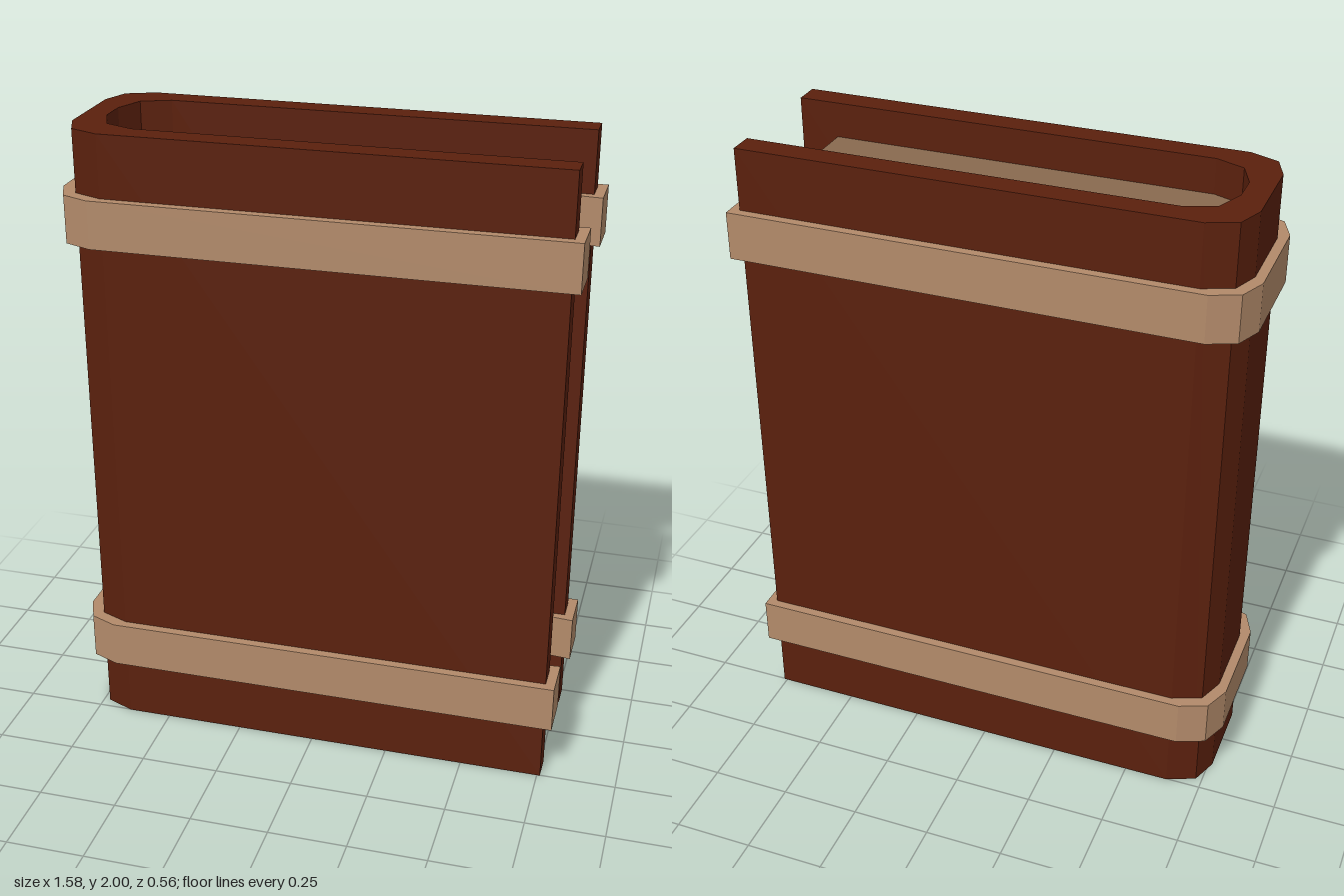
import * as THREE from 'three';

const material = (name, color) => {
  const m = new THREE.MeshStandardMaterial({ color });
  m.name = name;
  return m;
};

// Completes a plan outline, given for one half, with its mirror image across z = 0
const mirrored = (half) => [...half, ...half.map(([x, z]) => [x, -z]).reverse()];

// Extrudes a plan outline upwards from y0 to y1
function slab(name, points, y0, y1, mat) {
  const shape = new THREE.Shape(points.map(([x, z]) => new THREE.Vector2(x, z)));
  const geometry = new THREE.ExtrudeGeometry(shape, { depth: y1 - y0, bevelEnabled: false });
  geometry.rotateX(-Math.PI / 2);
  geometry.translate(0, y0, 0);
  const mesh = new THREE.Mesh(geometry, mat);
  mesh.name = name;
  return mesh;
}

export function createModel() {
  const leather = material('dark brown leather', 0x5a200d);
  const paper = material('aged paper', 0x88694f);
  const tan = material('tan strap', 0xb28a6a);

  // Half outlines, from the open edge round to the faceted spine
  const coverOuter = [[0.76, 0.252], [-0.64, 0.252], [-0.73, 0.215], [-0.763, 0.13]];
  const coverInner = [[0.76, 0.172], [-0.56, 0.172], [-0.65, 0.135], [-0.687, 0.045]];
  const strapOuter = [[0.6, 0.172], [0.6, 0.159], [0.64, 0.155], [0.79, 0.141],
    [0.79, 0.281], [-0.67, 0.281], [-0.757, 0.245], [-0.793, 0.16]];
  const strapInner = [[0.6, 0.172], ...coverOuter];
  strapInner.splice(1, 0, [0.76, 0.172]);

  const book = new THREE.Group();
  book.name = 'book';

  // U-shaped cover with a rounded spine
  book.add(slab('cover', [...mirrored(coverOuter), ...mirrored(coverInner).reverse()], 0, 2, leather));

  // Page block set in from the cover edges
  const pageHalf = [[0.64, 0.172], ...coverInner.slice(1)];
  book.add(slab('pages', mirrored(pageHalf), 0.13, 1.89, paper));

  // Two straps around the spine, hooked over the cover edges
  const strapPlan = [...mirrored(strapOuter), ...mirrored(strapInner.slice(1)).reverse()];
  book.add(slab('lowerStrap', strapPlan, 0.2, 0.35, tan));
  book.add(slab('upperStrap', strapPlan, 1.655, 1.805, tan));

  return book;
}
